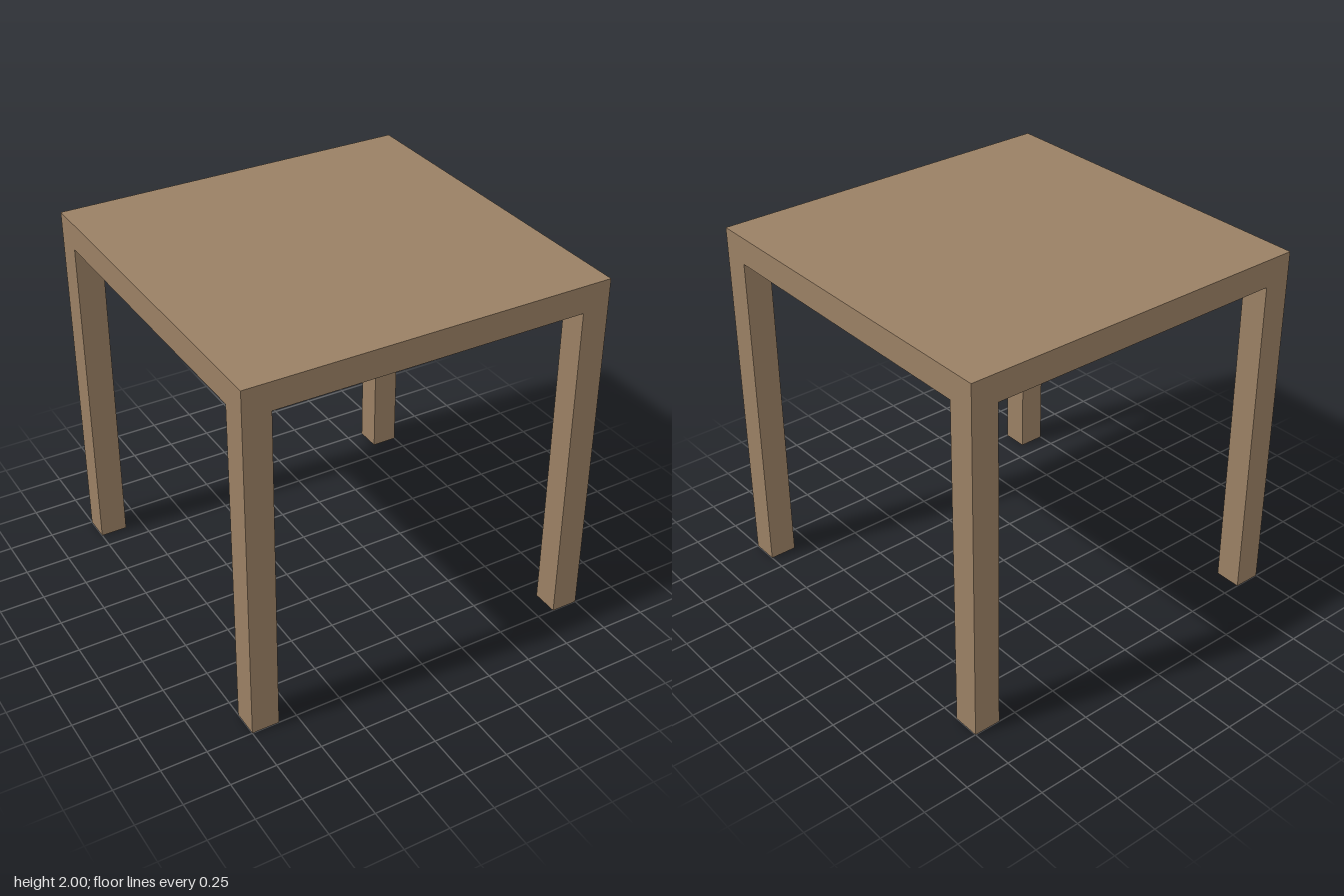
import * as THREE from 'three';

const SIZE = 2;        // overall width, depth and height
const THICK = 0.15;    // slab thickness and leg width

export function createModel() {
  const table = new THREE.Group();
  table.name = 'table';
  const wood = new THREE.MeshStandardMaterial({ color: 0x9a8064 });

  // Solid square top
  const top = new THREE.Mesh(new THREE.BoxGeometry(SIZE, THICK, SIZE), wood);
  top.name = 'tableTop';
  top.position.y = SIZE - THICK / 2;
  table.add(top);

  // Four square legs, flush with the corners of the top
  const legHeight = SIZE - THICK;
  const legGeometry = new THREE.BoxGeometry(THICK, legHeight, THICK);
  const offset = (SIZE - THICK) / 2;
  for (const [zName, z] of [['front', 1], ['back', -1]]) {
    for (const [xName, x] of [['Left', 1], ['Right', -1]]) {
      const leg = new THREE.Mesh(legGeometry, wood);
      leg.name = `${zName}${xName}Leg`;
      leg.position.set(x * offset, legHeight / 2, z * offset);
      table.add(leg);
    }
  }

  return table;
}
